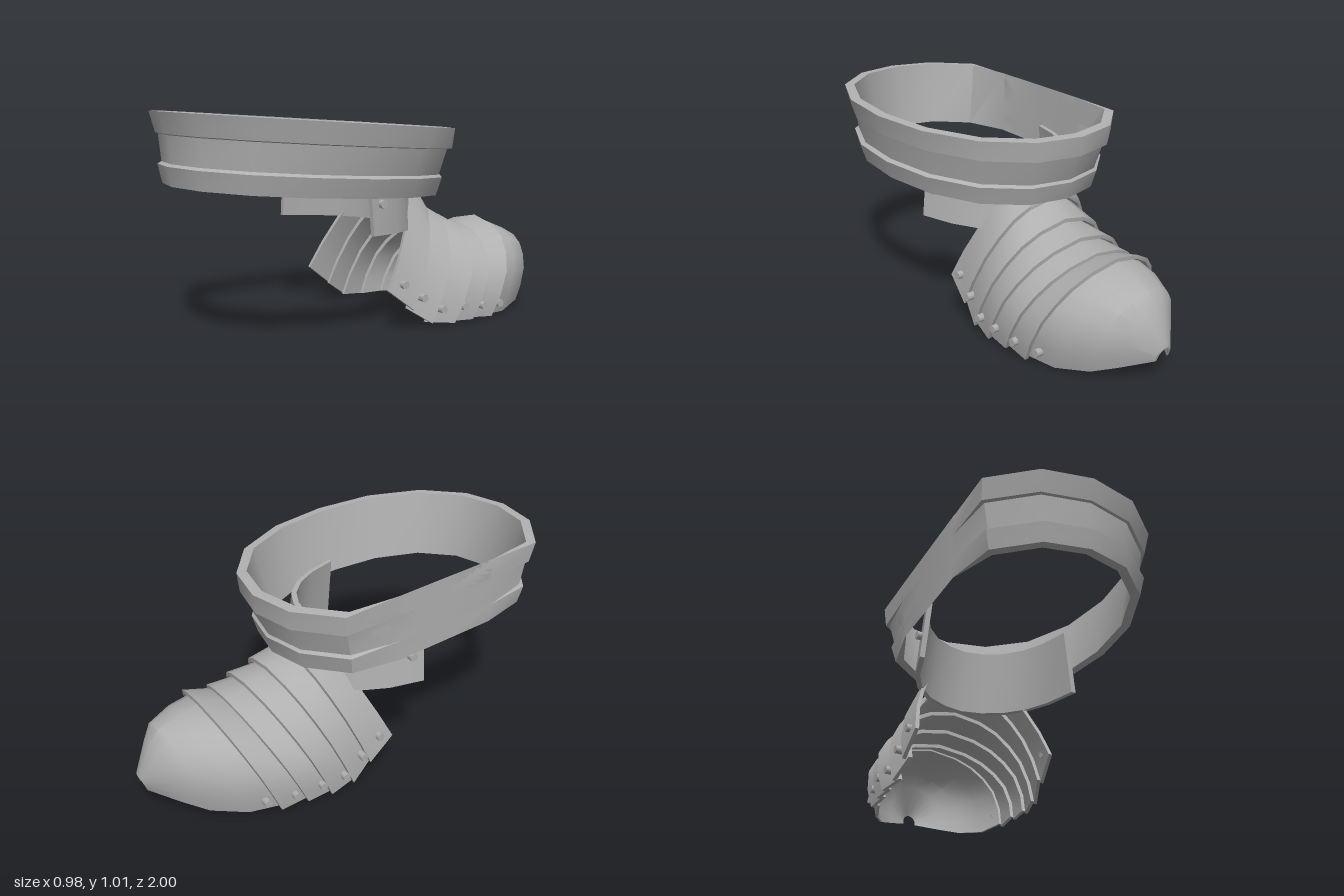
import * as THREE from 'three';
import { toCreasedNormals } from 'three/addons/utils/BufferGeometryUtils.js';

const V = (x, y, z) => new THREE.Vector3(x, y, z);

// Skin a closed loop of rows; the columns may be closed (ring) or open (shell)
function loft(rows, closedCols, caps = []) {
  const pos = [];
  const quad = (a, b, c, d) => [a, b, c, a, c, d].forEach(p => pos.push(p.x, p.y, p.z));
  const n = rows[0].length;
  rows.forEach((row, r) => {
    const next = rows[(r + 1) % rows.length];
    for (let c = 0; c < (closedCols ? n : n - 1); c++) {
      const d = (c + 1) % n;
      quad(row[c], row[d], next[d], next[c]);
    }
  });
  caps.forEach(q => quad(...q));
  const g = new THREE.BufferGeometry();
  g.setAttribute('position', new THREE.Float32BufferAttribute(pos, 3));
  return toCreasedNormals(g, 0.65);
}

// Thick open shell between matching outer and inner rows
function shell(outer, inner) {
  const caps = [], last = outer[0].length - 1;
  for (let k = 0; k < outer.length - 1; k++) {
    caps.push([outer[k][0], outer[k + 1][0], inner[k + 1][0], inner[k][0]]);
    caps.push([outer[k][last], inner[k][last], inner[k + 1][last], outer[k + 1][last]]);
  }
  return loft([...outer, ...[...inner].reverse()], false, caps);
}

// Half arch sections: [sideways share of the width, share of the way down]
const STEEP = [[0, 0], [0.3, 0.03], [0.5, 0.12], [0.66, 0.3], [0.8, 0.5], [0.93, 0.75], [1, 1]];
const ROUND = [[0, 0], [0.4, 0.07], [0.65, 0.18], [0.83, 0.33], [0.96, 0.52], [1, 0.78], [0.97, 1]];
const axisX = z => -0.08 - 0.075 * z;

// Slanted arch from s = { top: [z, y], low: [z, y], w, round }
function arch(s, inset = 0) {
  const half = STEEP.map((p, i) => {
    const x = THREE.MathUtils.lerp(p[0], ROUND[i][0], s.round) * (s.w - inset);
    const t = THREE.MathUtils.lerp(p[1], ROUND[i][1], s.round);
    const z = THREE.MathUtils.lerp(s.top[0], s.low[0], t);
    return [x, THREE.MathUtils.lerp(s.top[1] - inset, s.low[1], t), z];
  });
  const at = (p, side) => V(axisX(p[2]) + side * p[0], p[1], p[2]);
  return [...half.slice(1).reverse().map(p => at(p, -1)), ...half.map(p => at(p, 1))];
}

export function createModel() {
  const model = new THREE.Group();
  const steel = new THREE.MeshStandardMaterial({ color: 0xb0b0b0, side: THREE.DoubleSide });
  steel.name = 'grey steel';
  const add = (name, geometry) => {
    const mesh = new THREE.Mesh(geometry, steel);
    mesh.name = name;
    model.add(mesh);
    return mesh;
  };

  // Tilted collar ring, cut flat on one side: [front z, back z, half width, front y]
  const levels = [
    [0.955, -0.345, 0.50, 0.705], [0.972, -0.37, 0.525, 0.79],
    [0.955, -0.36, 0.505, 0.80], [0.965, -0.40, 0.53, 0.92],
    [0.975, -0.42, 0.55, 0.925], [1.0, -0.43, 0.57, 1.018],
    [0.955, -0.385, 0.525, 1.018], [0.915, -0.305, 0.46, 0.705],
  ];
  add('collarRing', loft(levels.map(([zf, zb, rx, yf]) => {
    const row = [];
    for (let i = 0; i < 16; i++) {
      const a = i * Math.PI / 8, k = 1 + 0.03 * Math.sin(2 * a) ** 2;
      const z = (zf + zb) / 2 + (zf - zb) / 2 * Math.cos(a) * k;
      row.push(V(Math.max(-0.49, -0.08 + rx * Math.sin(a) * k), yf - 0.072 * (zf - z), z));
    }
    return row;
  }), true));

  // Curved back plate under the ring
  const bend = [[0, -0.215], [0.1, -0.195], [0.2, -0.145], [0.285, -0.06], [0.345, 0.05], [0.39, 0.205]];
  const plateRow = (y, scale, inset) => {
    const half = bend.map(([x, z]) => {
      const zz = 0.205 + (z - 0.205) * (scale - inset * 2.4);
      return [x * (scale - inset * 2.4), y + 0.05 * zz, zz];
    });
    return [...half.slice(1).reverse().map(p => V(-0.08 - p[0], p[1], p[2])),
      ...half.map(p => V(-0.08 + p[0], p[1], p[2]))];
  };
  add('backPlate', shell(
    [plateRow(0.77, 0.94, 0), plateRow(0.465, 1.02, 0)],
    [plateRow(0.77, 0.94, 0.025), plateRow(0.465, 1.02, 0.025)]));

  // Overlapping bands; each starts tucked under the rear lip of the one before
  const lips = [
    { top: [-0.27, 0.61], low: [-0.05, 0.10], w: 0.365, round: 0.5 },
    { top: [-0.365, 0.527], low: [-0.145, 0.027], w: 0.38, round: 0.8 },
    { top: [-0.47, 0.47], low: [-0.265, 0.015], w: 0.393, round: 1 },
    { top: [-0.575, 0.43], low: [-0.38, 0.015], w: 0.383, round: 1 },
    { top: [-0.70, 0.45], low: [-0.505, 0.01], w: 0.37, round: 1 },
  ];
  const tuck = s => ({
    top: [s.top[0] + 0.04, s.top[1] - 0.025], low: [s.low[0] + 0.02, s.low[1] + 0.005],
    w: s.w - 0.025, round: s.round,
  });
  lips.forEach((lip, i) => {
    const start = i ? tuck(lips[i - 1]) : { top: [-0.19, 0.725], low: [0.075, 0.2], w: 0.345, round: 0 };
    add('band' + (i + 1), shell([arch(start), arch(lip)], [arch(start, 0.018), arch(lip, 0.018)]));
  });

  // Tapering end cover with a small opening at the point
  const cover = [
    { top: [-0.66, 0.425], low: [-0.48, 0.015], w: 0.345, round: 1 },
    { top: [-0.78, 0.41], low: [-0.63, 0.005], w: 0.305, round: 1 },
    { top: [-0.89, 0.365], low: [-0.78, 0.03], w: 0.235, round: 1 },
    { top: [-0.93, 0.305], low: [-0.87, 0.06], w: 0.155, round: 1 },
    { top: [-1.0, 0.165], low: [-0.98, 0.10], w: 0.045, round: 1 },
  ];
  add('endCover', shell(cover.map(s => arch(s)), cover.map(s => arch(s, 0.012))));

  // Rivets on both sides: [z, y, distance from the middle]
  const rivet = new THREE.CylinderGeometry(0.019, 0.019, 0.04, 8).rotateZ(Math.PI / 2);
  const rivets = [
    [0, 0.225, 0.345], [-0.095, 0.155, 0.36], [-0.195, 0.09, 0.372], [-0.315, 0.09, 0.378],
    [-0.44, 0.075, 0.365], [-0.565, 0.065, 0.335], [0.145, 0.61, 0.372],
  ];
  for (const [z, y, x] of rivets) {
    for (const side of [-1, 1]) {
      add('rivet', rivet).position.set((y > 0.5 ? -0.08 : axisX(z)) + side * x, y, z);
    }
  }
  return model;
}
